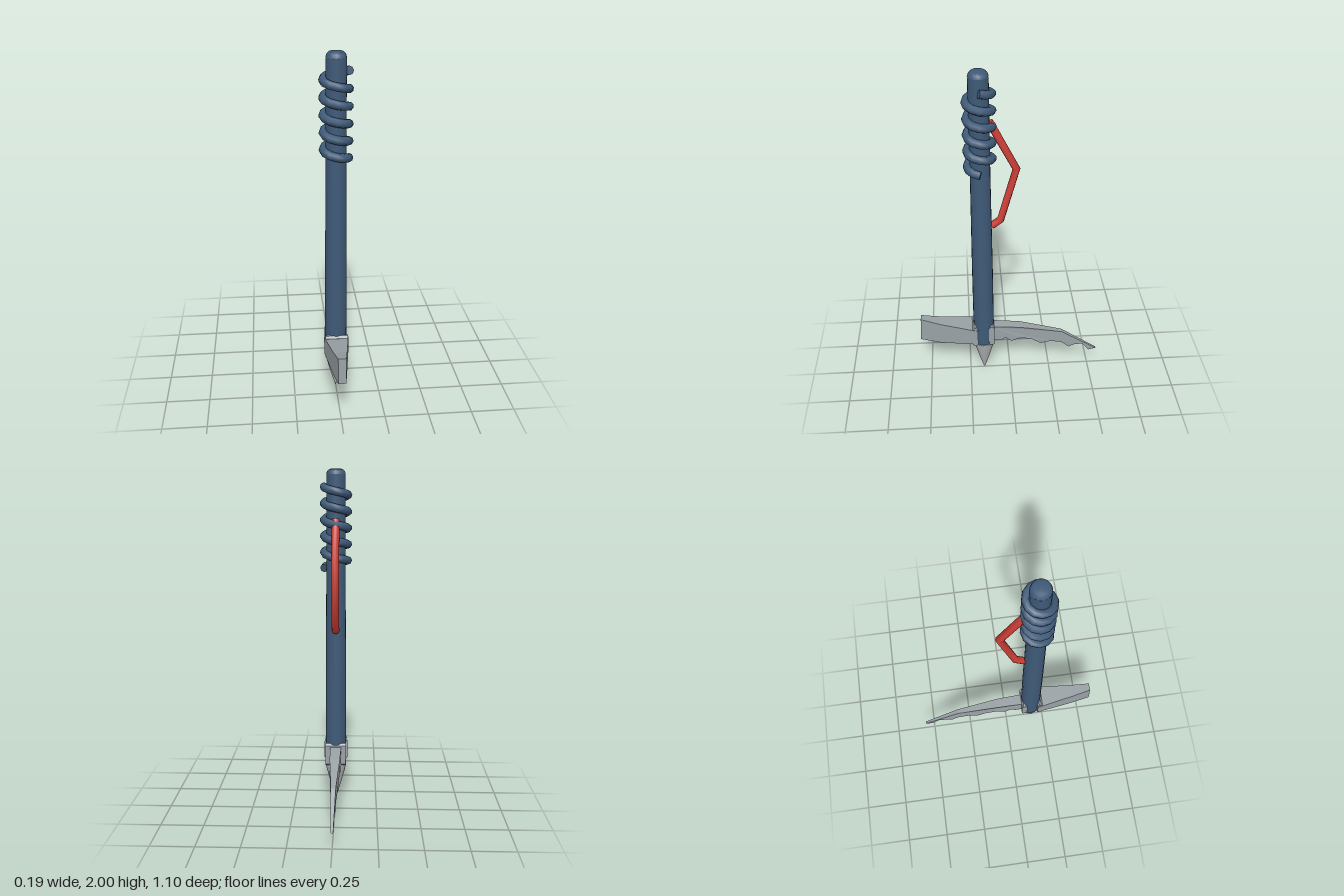
import * as THREE from 'three';

const SHAFT_Z = 0.162;

const mat = (name, color) => {
  const m = new THREE.MeshStandardMaterial({ color });
  m.name = name;
  return m;
};
const navy = mat('navy paint', 0x3f5a78);
const steel = mat('grey steel', 0x9aa2a6);
const bright = mat('bright steel', 0xb4b5b6);
const red = mat('red paint', 0xcf4038);

const V = (x, y, z) => new THREE.Vector3(x, y, z);

function add(group, name, geometry, material) {
  const mesh = new THREE.Mesh(geometry, material);
  mesh.name = name;
  group.add(mesh);
  return mesh;
}

// Path through given points, with mitred corners
class PolyPath extends THREE.Curve {
  constructor(points) {
    super();
    this.points = points;
  }
  getPoint(t) {
    const n = this.points.length - 1;
    const i = Math.min(Math.floor(t * n + 1e-6), n - 1);
    return this.points[i].clone().lerp(this.points[i + 1], t * n - i);
  }
  getTangent(t) {
    const p = this.points, n = p.length - 1, i = Math.round(t * n);
    const out = V(0, 0, 0);
    if (i > 0) out.add(p[i].clone().sub(p[i - 1]).normalize());
    if (i < n) out.add(p[i + 1].clone().sub(p[i]).normalize());
    return out.normalize();
  }
  getPointAt(t) { return this.getPoint(t); }
  getTangentAt(t) { return this.getTangent(t); }
}

// Tube with closed ends
function cappedTube(name, points, radius, sides, material) {
  const group = new THREE.Group();
  group.name = name;
  const path = new PolyPath(points);
  add(group, name + 'Tube', new THREE.TubeGeometry(path, points.length - 1, radius, sides), material);
  for (const [t, sign] of [[0, -1], [1, 1]]) {
    const cap = add(group, name + 'End', new THREE.CircleGeometry(radius, sides), material);
    cap.position.copy(path.getPoint(t));
    cap.lookAt(cap.position.clone().addScaledVector(path.getTangent(t), sign));
  }
  return group;
}

// Side outline in (z, y), made solid across x with half-width depending on z
function blade(outline, halfWidth) {
  const shape = new THREE.Shape(outline.map(([z, y]) => new THREE.Vector2(z, y)));
  const g = new THREE.ExtrudeGeometry(shape, { depth: 2, bevelEnabled: false });
  g.translate(0, 0, -1).rotateY(-Math.PI / 2);
  const p = g.attributes.position;
  for (let i = 0; i < p.count; i++) p.setX(i, p.getX(i) * halfWidth(p.getZ(i)));
  g.computeVertexNormals();
  return g;
}

// Linear interpolation through [z, value] stops in ascending z
const ramp = (stops) => (z) => {
  let i = 0;
  while (i < stops.length - 2 && z > stops[i + 1][0]) i++;
  const [z0, a] = stops[i], [z1, b] = stops[i + 1];
  return a + (b - a) * THREE.MathUtils.clamp((z - z0) / (z1 - z0), 0, 1);
};

const lathe = (profile, sides) =>
  new THREE.LatheGeometry(profile.map(([r, y]) => new THREE.Vector2(r, y)), sides)
    .translate(0, 0, SHAFT_Z);

export function createModel() {
  const model = new THREE.Group();
  model.name = 'iceAxe';

  // Shaft, slightly thicker towards the head, with a chamfered top
  add(model, 'shaft', lathe([[0.063, 0.23], [0.061, 0.8], [0.056, 1.4], [0.055, 1.972]], 20), navy);
  add(model, 'shaftCap', lathe([[0.055, 1.972], [0.05, 1.988], [0.038, 2], [0, 2]], 16), navy);

  // Pointed spike
  add(model, 'spike', lathe([[0, 0], [0.008, 0.02], [0.036, 0.115], [0.052, 0.175], [0.064, 0.225], [0.064, 0.234], [0, 0.234]], 20), bright);

  // Coiled grip winding down five turns
  const coil = [];
  const turns = 5, perTurn = 12;
  for (let i = 0; i <= turns * perTurn; i++) {
    const a = (i / perTurn) * Math.PI * 2;
    coil.push(V(0.069 * Math.cos(a), 1.902 - 0.465 * i / (turns * perTurn), SHAFT_Z - 0.069 * Math.sin(a)));
  }
  model.add(cappedTube('coilGrip', coil, 0.024, 8, navy));

  // Bent lever on the back of the shaft
  model.add(cappedTube('lever', [
    V(0, 1.72, 0.108), V(0, 1.437, -0.036), V(0, 1.116, 0.052), V(0, 1.078, 0.102),
  ], 0.022, 8, red));

  // Adze at the front
  add(model, 'adze', blade([
    [0.2, 0.25], [0.431, 0.252], [0.553, 0.273], [0.546, 0.428], [0.431, 0.397], [0.2, 0.355],
  ], ramp([[0.2, 0.071], [0.55, 0.022]])), steel);

  // Toothed pick at the back
  add(model, 'pick', blade([
    [0.12, 0.355], [-0.061, 0.339], [-0.325, 0.275], [-0.55, 0.12],
    [-0.505, 0.111], [-0.463, 0.164], [-0.415, 0.164], [-0.373, 0.148],
    [-0.325, 0.19], [-0.257, 0.206], [-0.193, 0.196], [-0.14, 0.233],
    [-0.071, 0.254], [-0.008, 0.233], [0.029, 0.264], [0.056, 0.243], [0.12, 0.252],
  ], ramp([[-0.55, 0.007], [-0.325, 0.014], [-0.061, 0.03], [0.12, 0.034]])), steel);

  // Chamfered flanges clasping the shaft
  const flange = (z0, z1) => [
    [z0, 0.245], [z0 + 0.01, 0.235], [z1 - 0.01, 0.235], [z1, 0.245],
    [z1, 0.362], [z1 - 0.01, 0.375], [z0 + 0.01, 0.375], [z0, 0.362],
  ];
  add(model, 'frontFlange', blade(flange(0.2, 0.232), () => 0.066), steel);
  add(model, 'backFlange', blade(flange(0.098, 0.132), () => 0.062), steel);

  return model;
}
